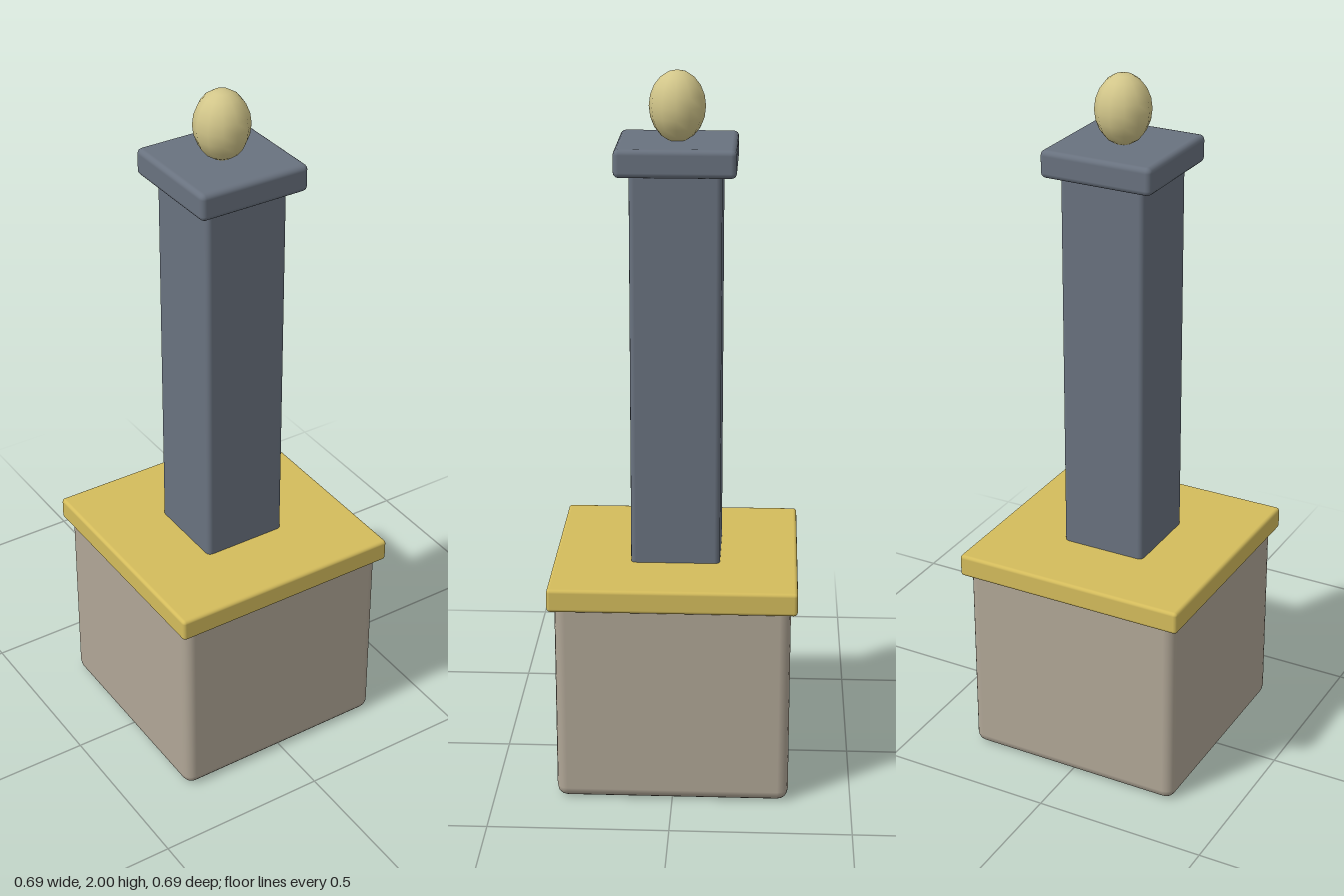
import * as THREE from 'three';
import { RoundedBoxGeometry } from 'three/addons/geometries/RoundedBoxGeometry.js';

function material(name, color) {
  const m = new THREE.MeshStandardMaterial({ color });
  m.name = name;
  return m;
}

export function createModel() {
  const group = new THREE.Group();
  group.name = 'pedestalColumn';

  const stone = material('warm stone', 0xb0a696);
  const gold = material('gold', 0xd4bc5c);
  const slate = material('slate', 0x69727f);
  const paleGold = material('pale gold', 0xd2c68a);

  // Square block with softened edges, spanning y0 to y1
  function block(name, width, y0, y1, radius, mat) {
    const geometry = new RoundedBoxGeometry(width, y1 - y0, width, 2, radius);
    const mesh = new THREE.Mesh(geometry, mat);
    mesh.name = name;
    mesh.position.y = (y0 + y1) / 2;
    group.add(mesh);
  }

  block('base', 0.65, 0, 0.6, 0.03, stone);
  block('baseTopSlab', 0.686, 0.571, 0.637, 0.01, gold);
  block('shaft', 0.25, 0.6, 1.76, 0.015, slate);
  block('capital', 0.328, 1.735, 1.812, 0.015, slate);

  // Egg-shaped finial resting on the capital
  const finial = new THREE.Mesh(new THREE.SphereGeometry(0.077, 12, 10), paleGold);
  finial.name = 'finial';
  finial.scale.y = 1.26;
  finial.position.y = 1.903;
  group.add(finial);

  return group;
}
